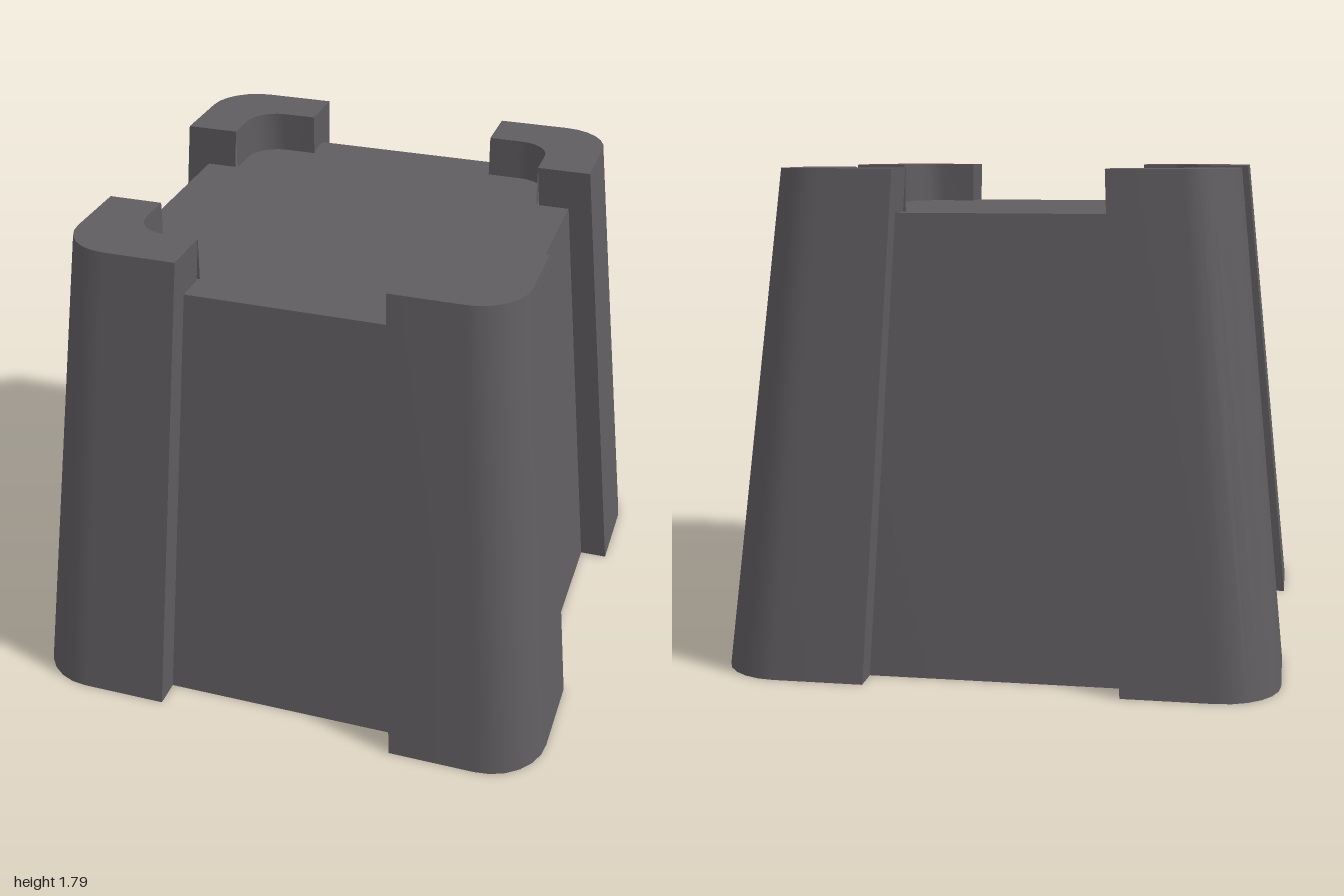
import * as THREE from 'three';
import { mergeGeometries } from 'three/addons/utils/BufferGeometryUtils.js';

const HEIGHT = 1.795, CORE_TOP = 1.64, FLARE = 1.227;

// Quarter outline around one rounded corner, from (e, half) to (half, e), as points at height y
function cornerPath(half, r, e, y, steps = 6) {
  const pts = [new THREE.Vector3(e, y, half)];
  const c = half - r;
  for (let i = 0; i <= steps; i++) {
    const t = (i / steps) * Math.PI / 2;
    pts.push(new THREE.Vector3(c + r * Math.sin(t), y, c + r * Math.cos(t)));
  }
  pts.push(new THREE.Vector3(half, y, e));
  return pts;
}

// Full rounded square made of four corner paths
function roundedSquare(half, r, y) {
  const up = new THREE.Vector3(0, 1, 0);
  const quarter = cornerPath(half, r, 0, y);
  const pts = [];
  for (let k = 0; k < 4; k++) {
    quarter.slice(0, -1).forEach(p => pts.push(p.clone().applyAxisAngle(up, k * Math.PI / 2)));
  }
  pts.push(pts[0].clone());
  return pts;
}

// Surface joining two paths of equal length
function strip(a, b) {
  const n = a.length, index = [];
  for (let i = 0; i < n - 1; i++) {
    index.push(i, i + 1, n + i, i + 1, n + i + 1, n + i);
  }
  const g = new THREE.BufferGeometry().setFromPoints([...a, ...b]);
  g.setIndex(index);
  g.computeVertexNormals();
  return g;
}

// Tapered block with flat top and bottom
function coreGeometry() {
  const low = roundedSquare(0.895, 0.18, 0);
  const high = roundedSquare(0.742, 0.15, CORE_TOP);
  const centre = y => low.map(() => new THREE.Vector3(0, y, 0));
  return mergeGeometries([
    strip(low, high),
    strip(high, centre(CORE_TOP)),
    strip(centre(0), low),
  ]);
}

// L-shaped corner guard, open underneath
function guardGeometry() {
  const outerTop = cornerPath(0.815, 0.18, 0.37, HEIGHT);
  const innerTop = cornerPath(0.615, 0.12, 0.37, HEIGHT);
  const widen = p => new THREE.Vector3(p.x * FLARE, 0, p.z * FLARE);
  const outerLow = outerTop.map(widen);
  const innerLow = innerTop.map(widen);
  const innerSill = innerTop.map(p => new THREE.Vector3(p.x, CORE_TOP - 0.02, p.z));
  const last = outerTop.length - 1;
  return mergeGeometries([
    strip(outerLow, outerTop),
    strip(outerTop, innerTop),
    strip(innerTop, innerSill),
    strip([innerLow[0], outerLow[0]], [innerTop[0], outerTop[0]]),
    strip([outerLow[last], innerLow[last]], [outerTop[last], innerTop[last]]),
  ]);
}

export function createModel() {
  const group = new THREE.Group();
  group.name = 'taperedBlock';
  const grey = new THREE.MeshStandardMaterial({ color: 0x605d60, side: THREE.DoubleSide });
  grey.name = 'dark grey';

  const core = new THREE.Mesh(coreGeometry(), grey);
  core.name = 'core';
  group.add(core);

  // One guard on each corner
  const guard = guardGeometry();
  ['frontLeft', 'backLeft', 'backRight', 'frontRight'].forEach((place, k) => {
    const mesh = new THREE.Mesh(guard, grey);
    mesh.name = place + 'CornerGuard';
    mesh.rotation.y = k * Math.PI / 2;
    group.add(mesh);
  });
  return group;
}
